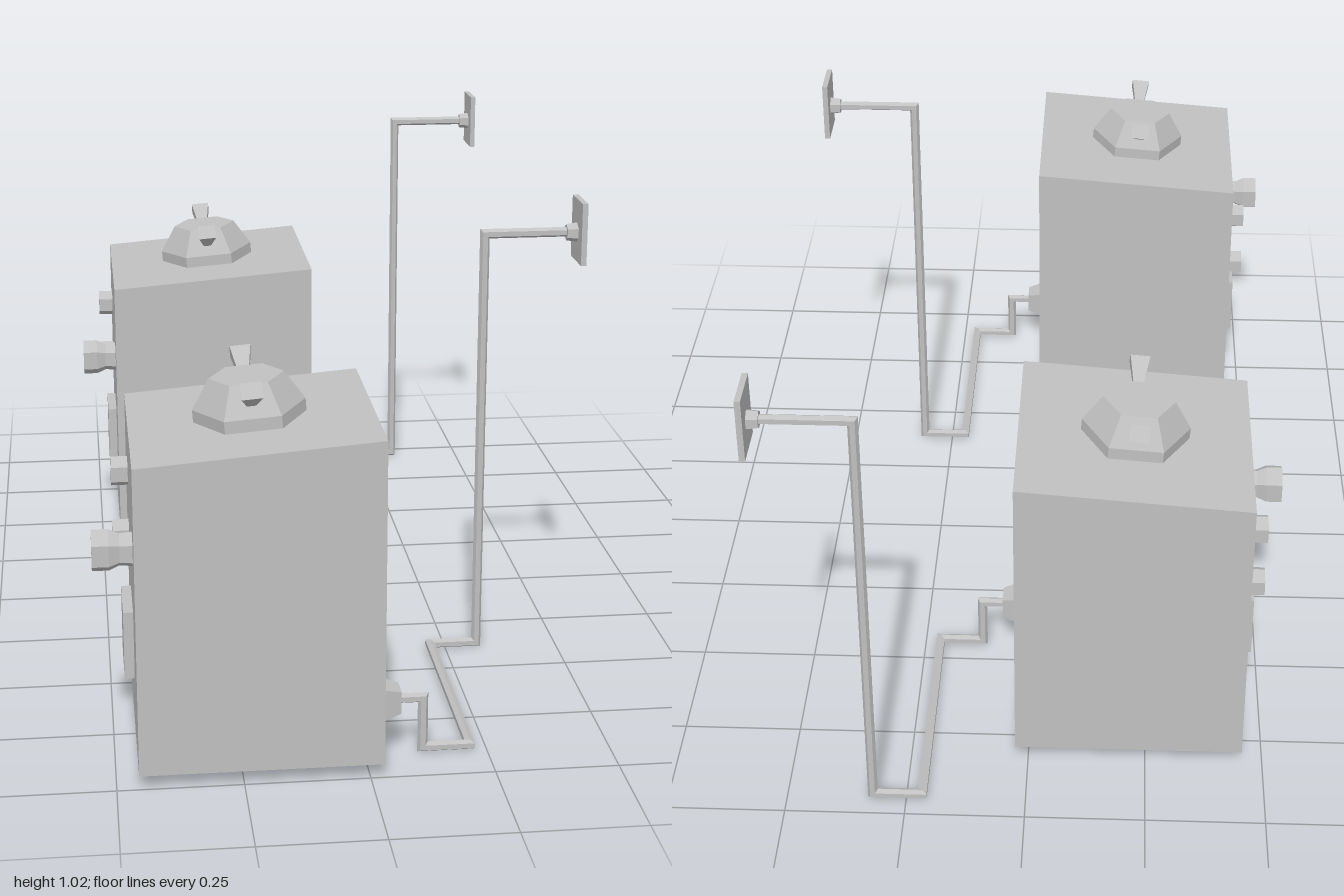
import * as THREE from 'three';

const metal = new THREE.MeshStandardMaterial({ color: 0xc0c0c0, flatShading: true });
metal.name = 'plain grey';

function add(parent, name, geometry, x = 0, y = 0, z = 0) {
  const mesh = new THREE.Mesh(geometry, metal);
  mesh.name = name;
  mesh.position.set(x, y, z);
  parent.add(mesh);
  return mesh;
}

// Closed faceted solid around y, from [radius, height] pairs listed bottom to top
function turned(sides, profile) {
  const pts = [[0, profile[0][1]], ...profile, [0, profile[profile.length - 1][1]]];
  return new THREE.LatheGeometry(pts.map(([r, h]) => new THREE.Vector2(r, h)), sides,
    sides === 4 ? Math.PI / 4 : Math.PI / 2).toNonIndexed();
}

// Six-sided pipe with mitred corners; the first run goes along +x
function pipe(points, radius) {
  const sides = 6, pos = [], index = [];
  const path = points.map(p => new THREE.Vector3(...p));
  const dirs = path.slice(1).map((p, i) => p.clone().sub(path[i]).normalize());
  let ring = Array.from({ length: sides }, (_, j) => {
    const a = j / sides * Math.PI * 2;
    return new THREE.Vector3(0, Math.cos(a) * radius, Math.sin(a) * radius);
  });
  path.forEach((p, i) => {
    const d = dirs[Math.max(i - 1, 0)];
    const n = d.clone().add(dirs[Math.min(i, dirs.length - 1)]);
    ring = ring.map(o => o.clone().addScaledVector(d, -o.dot(n) / d.dot(n)));
    ring.forEach(o => pos.push(p.x + o.x, p.y + o.y, p.z + o.z));
    if (i === 0) return;
    for (let j = 0; j < sides; j++) {
      const k = (j + 1) % sides, a = (i - 1) * sides, b = i * sides;
      index.push(a + j, a + k, b + k, a + j, b + k, b + j);
    }
  });
  const g = new THREE.BufferGeometry();
  g.setAttribute('position', new THREE.Float32BufferAttribute(pos, 3));
  g.setIndex(index);
  const flat = g.toNonIndexed();
  flat.computeVertexNormals();
  return flat;
}

function createUnit() {
  const unit = new THREE.Group();
  const midZ = 0.759, depth = 0.482;

  // Cabinet with a sloping top
  const side = new THREE.Shape([[-0.456, 0.03], [0.028, 0.03], [0.028, 0.702], [-0.456, 0.663]]
    .map(p => new THREE.Vector2(...p)));
  add(unit, 'cabinet', new THREE.ExtrudeGeometry(side, { depth, bevelEnabled: false }),
    0, 0, midZ - depth / 2);

  // Tapered feet
  for (const x of [-0.395, -0.035])
    for (const s of [-1, 1])
      add(unit, 'foot', turned(6, [[0.016, 0.009], [0.024, 0.031]]), x, 0, midZ + s * 0.18);

  // Hexagonal cap with two flared spouts
  const cap = new THREE.Group();
  cap.name = 'cap';
  cap.position.set(-0.214, 0.682, midZ);
  cap.rotation.z = Math.atan2(0.039, 0.484);
  unit.add(cap);
  add(cap, 'capBody', turned(6, [[0.113, -0.002], [0.113, 0.026], [0.075, 0.087]]));
  for (const s of [-1, 1]) {
    const spout = turned(4, [[0.011, 0], [0.03, 0.078]]);
    spout.scale(1, 1, 0.8);
    add(cap, 'spout', spout, 0, 0.051, s * 0.077).rotation.x = s * 0.95;
  }

  // Controls and panel on the -x face
  const sideways = g => g.rotateZ(Math.PI / 2);
  for (const y of [0.4, 0.536])
    add(unit, 'smallKnob', sideways(turned(6, [[0.031, -0.002], [0.031, 0.034]])), -0.456, y, 0.637);
  add(unit, 'largeKnob', sideways(turned(6,
    [[0.036, -0.002], [0.033, 0.025], [0.043, 0.046], [0.043, 0.079]])), -0.456, 0.465, 0.896);
  add(unit, 'panel', new THREE.BoxGeometry(0.021, 0.142, 0.142), -0.4655, 0.234, 0.761);

  // Outlet, pipe run and end plate
  const pz = 0.894, ez = 0.387;
  add(unit, 'outlet', turned(4, [[0.051, -0.002], [0.033, 0.044]]).rotateZ(-Math.PI / 2),
    0.028, 0.121, pz);
  add(unit, 'pipe', pipe([
    [0.065, 0.121, pz], [0.119, 0.121, pz], [0.119, 0.012, pz], [0.216, 0.012, pz],
    [0.216, 0.012, ez], [0.32, 0.012, ez], [0.32, 0.952, ez], [0.51, 0.952, ez],
  ], 0.0105));
  add(unit, 'plateHub', turned(6, [[0.018, 0], [0.021, 0.024]]).rotateZ(-Math.PI / 2),
    0.496, 0.951, ez);
  add(unit, 'endPlate', new THREE.BoxGeometry(0.012, 0.134, 0.098), 0.525, 0.955, ez);
  return unit;
}

export function createModel() {
  const model = new THREE.Group();
  model.name = 'pairOfMachines';
  const front = createUnit();
  front.name = 'frontMachine';
  const back = createUnit();
  back.name = 'backMachine';
  back.position.z = -1.337;
  model.add(front, back);
  return model;
}
